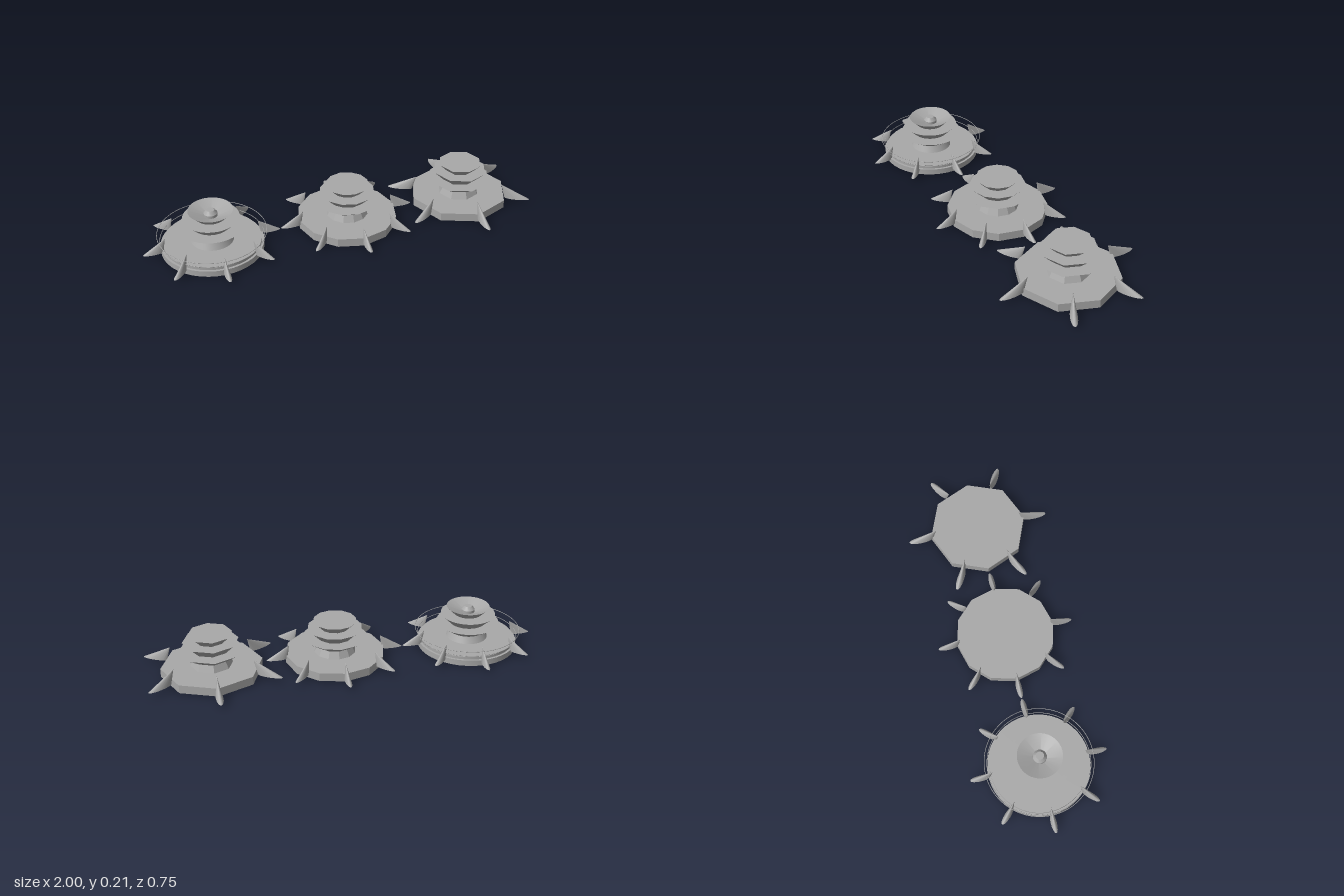
import * as THREE from 'three';
import { toCreasedNormals } from 'three/addons/utils/BufferGeometryUtils.js';

const stone = new THREE.MeshStandardMaterial({ color: 0xa8a8a8, side: THREE.DoubleSide });
stone.name = 'grey stone';

function addMesh(parent, name, geometry) {
  const mesh = new THREE.Mesh(geometry, stone);
  mesh.name = name;
  parent.add(mesh);
  return mesh;
}

// Revolved profile; corners sharper than the crease angle stay hard
function turned(points, sides, crease) {
  const profile = points.map(([r, y]) => new THREE.Vector2(r, y));
  return toCreasedNormals(new THREE.LatheGeometry(profile, sides), crease);
}

// Closed frustum between two heights
function frustum(y0, r0, y1, r1, sides, crease) {
  return turned([[0, y0], [r0, y0], [r1, y1], [0, y1]], sides, crease);
}

// Fin: cone on an elliptical foot, its peak leaning in to the hub (radial axis is x)
function finGeometry(inner, outer, peak, halfWidth) {
  const g = new THREE.ConeGeometry(1, 1, 16);
  const p = g.attributes.position;
  const mid = (inner + outer) / 2, half = (outer - inner) / 2;
  for (let i = 0; i < p.count; i++) {
    const t = p.getY(i) + 0.5;
    p.setXYZ(i, mid + half * p.getX(i) + (peak - mid) * t, 0.023 + 0.074 * t, halfWidth * p.getZ(i));
  }
  g.computeVertexNormals();
  return g;
}

function addFins(parent, count, start, geometry) {
  for (let i = 0; i < count; i++) {
    addMesh(parent, 'fin', geometry).rotation.y = start + (i * 2 * Math.PI) / count;
  }
}

// Neck and flaring tiers common to all three towers
function addTower(parent, sides, crease, openTop) {
  addMesh(parent, 'neck', frustum(0.043, 0.106, 0.081, 0.088, sides, crease));
  addMesh(parent, 'lowerTier', frustum(0.08, 0.092, 0.126, 0.16, sides, crease));
  addMesh(parent, 'middleTier', frustum(0.126, 0.092, 0.173, 0.139, sides, crease));
  if (!openTop) addMesh(parent, 'topTier', frustum(0.173, 0.072, 0.212, 0.11, sides, crease));
}

export function createModel() {
  const model = new THREE.Group();
  model.name = 'threeTowers';
  const makeTower = (name, x) => {
    const g = new THREE.Group();
    g.name = name;
    g.position.x = x;
    model.add(g);
    return g;
  };

  // Round tower with stepped base, open bowl and wire rings
  const round = makeTower('roundTower', -0.655);
  addMesh(round, 'base', turned(
    [[0, 0], [0.254, 0], [0.254, 0.03], [0.242, 0.03], [0.242, 0.044], [0, 0.044]], 40, 0.5));
  addTower(round, 40, 0.5, true);
  addMesh(round, 'bowl', turned([[0, 0.174], [0.072, 0.174], [0.11, 0.212], [0.025, 0.178]], 40, 0.5));
  addMesh(round, 'knob', turned([[0.034, 0.176], [0.034, 0.195], [0.02, 0.213], [0, 0.213]], 16, 0.5));
  for (const [radius, y] of [[0.268, 0.087], [0.255, 0.057]]) {
    const ring = addMesh(round, 'wireRing', new THREE.TorusGeometry(radius, 0.0015, 6, 64));
    ring.rotation.x = Math.PI / 2;
    ring.position.y = y;
  }
  addFins(round, 8, 0, finGeometry(0.245, 0.346, 0.232, 0.015));

  // Twelve-sided tower
  const twelve = makeTower('twelveSidedTower', 0.048);
  addMesh(twelve, 'base', frustum(0, 0.253, 0.043, 0.253, 12, 0.1));
  addTower(twelve, 12, 0.1, false);
  addFins(twelve, 8, 0, finGeometry(0.245, 0.352, 0.235, 0.015));

  // Eight-sided tower with six longer fins
  const eight = makeTower('eightSidedTower', 0.673);
  addMesh(eight, 'base', frustum(0, 0.253, 0.043, 0.253, 8, 0.1));
  addTower(eight, 8, 0.1, false);
  addFins(eight, 6, Math.PI / 6, finGeometry(0.243, 0.374, 0.224, 0.018));

  return model;
}
